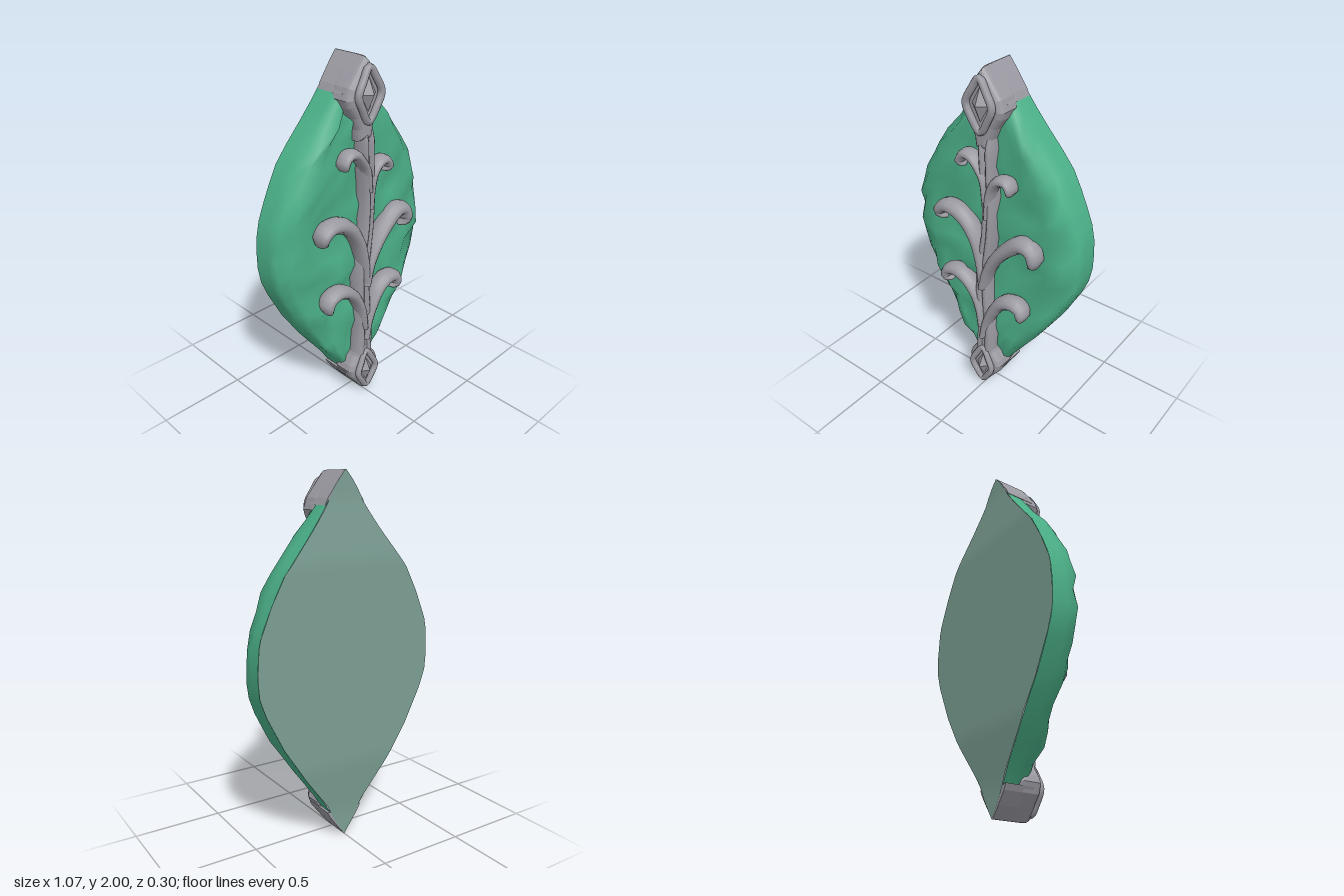
import * as THREE from 'three';

const mat = (name, color, side = THREE.FrontSide) => {
  const m = new THREE.MeshStandardMaterial({ color, side });
  m.name = name;
  return m;
};

// piecewise-linear lookup in [[key, value], ...]
function lerpTable(table, k) {
  for (let i = 1; i < table.length; i++) {
    const [a, va] = table[i - 1], [b, vb] = table[i];
    if (k <= b) return va + (vb - va) * Math.max(0, (k - a) / (b - a));
  }
  return table[table.length - 1][1];
}

// surface from rows and columns of points
function gridSurface(rows, cols, point) {
  const pos = [], idx = [];
  for (let i = 0; i <= rows; i++)
    for (let j = 0; j <= cols; j++) pos.push(...point(i, j));
  for (let i = 0; i < rows; i++)
    for (let j = 0; j < cols; j++) {
      const a = i * (cols + 1) + j, d = a + cols + 1;
      idx.push(a, a + 1, d + 1, a, d + 1, d);
    }
  const g = new THREE.BufferGeometry();
  g.setAttribute('position', new THREE.Float32BufferAttribute(pos, 3));
  g.setIndex(idx);
  g.computeVertexNormals();
  return g;
}

// tube in the xy plane with changing width and a separate depth
function vine(points, radii, z, depth, rows = 28, cols = 12) {
  const curve = new THREE.CatmullRomCurve3(points.map(([x, y]) => new THREE.Vector3(x, y, 0)));
  return gridSurface(rows, cols, (i, j) => {
    const t = i / rows, p = curve.getPointAt(t), d = curve.getTangentAt(t);
    const close = Math.sqrt(Math.min(1, (1 - t) / 0.1));
    const r = lerpTable(radii, t) * close, a = -Math.PI / 2 + (j / cols) * Math.PI * 2;
    const h = depth * close;
    return [p.x - d.y * r * Math.cos(a), p.y + d.x * r * Math.cos(a), z + h * Math.sin(a)];
  });
}

const hash = (i, j) => {
  const s = Math.sin(i * 127.1 + j * 311.7) * 43758.5453;
  return (s - Math.floor(s)) * 2 - 1;
};

// half width of the leaf by height, and depth of its back
const outline = [[0, 0], [0.09, 0.06], [0.2, 0.115], [0.4, 0.265], [0.6, 0.395], [0.8, 0.495], [0.9, 0.53],
  [1.0, 0.537], [1.18, 0.525], [1.36, 0.45], [1.5, 0.375], [1.7, 0.21], [1.83, 0.112], [1.93, 0.06], [2, 0]];
const backDepth = [[0, -0.12], [0.15, -0.122], [0.45, -0.152], [1.55, -0.152], [1.85, -0.122], [2, -0.12]];
// across the front: [fraction of half width, z]; null z is the back edge
const section = [[-1, null], [-1, -0.07], [-0.99, 0.0], [-0.88, 0.04], [-0.7, 0.055], [-0.5, 0.045], [-0.3, 0.05], [-0.12, 0.045],
  [0.12, 0.045], [0.3, 0.05], [0.5, 0.045], [0.7, 0.055], [0.88, 0.04], [0.99, 0.0], [1, -0.07], [1, null]];

// pointed end piece; dir is -1 for the top and +1 for the bottom
function endCap(name, tipY, dir, s, grey) {
  const group = new THREE.Group();
  group.name = name;
  const toShape = (half) => {
    const pts = [...half, ...half.slice().reverse().map(([x, t]) => [-x, t])]
      .map(([x, t]) => new THREE.Vector2(x * s, tipY + dir * t * s));
    return new THREE.Shape(pts);
  };
  const add = (part, geo) => {
    const m = new THREE.Mesh(geo, grey);
    m.name = part;
    group.add(m);
  };
  // full-depth wedge that caps the leaf
  const wedge = new THREE.ExtrudeGeometry(toShape([[0.002, 0.002], [0.055, 0.07], [0.105, 0.14], [0.122, 0.175]]),
    { depth: 0.17, bevelEnabled: false });
  wedge.translate(0, 0, -0.118);
  add('capWedge', wedge);
  // rounded hood that narrows into the stem
  const hood = new THREE.ExtrudeGeometry(
    toShape([[0.004, 0.004], [0.055, 0.07], [0.108, 0.14], [0.128, 0.2], [0.115, 0.24], [0.075, 0.3], [0.052, 0.36], [0.045, 0.42]]),
    { depth: 0.07, bevelThickness: 0.04, bevelSize: 0.035, bevelOffset: -0.035, bevelSegments: 4 });
  hood.translate(0, 0, 0.0);
  add('capHood', hood);
  // raised diamond rim
  const rimPts = [[0, 0.05], [0.045, 0.11], [0.078, 0.18], [0.05, 0.25], [0, 0.32], [-0.05, 0.25], [-0.078, 0.18], [-0.045, 0.11]]
    .map(([x, t]) => new THREE.Vector3(x * s, tipY + dir * t * s, 0.108 + 0.015 * Math.sin(t * 9)));
  add('capRim', new THREE.TubeGeometry(new THREE.CatmullRomCurve3(rimPts, true), 40, 0.02 * s, 8, true));
  // faceted gem inside the rim
  const gem = new THREE.OctahedronGeometry(1);
  gem.scale(0.055 * s, 0.1 * s, 0.045);
  gem.translate(0, tipY + dir * 0.18 * s, 0.105);
  add('capGem', gem);
  return group;
}

export function createModel() {
  const green = mat('leafGreen', 0x4bb088, THREE.DoubleSide);
  const grey = mat('vineGrey', 0x9b9aa2, THREE.DoubleSide);
  const backGrey = mat('backGreyGreen', 0x7c9f94);
  const model = new THREE.Group();
  const add = (name, geo, m) => {
    const mesh = new THREE.Mesh(geo, m);
    mesh.name = name;
    model.add(mesh);
  };

  // hammered leaf front and sides
  const rows = 19;
  add('leafBody', gridSurface(rows, section.length - 1, (i, j) => {
    const y = 0.15 + (i / rows) * 1.7, w = lerpTable(outline, y), [u, z] = section[j];
    const back = lerpTable(backDepth, y);
    if (z === null) return [u * w, y, back];
    const fade = Math.min(1, (Math.min(y, 2 - y) - 0.13) / 0.2);
    const onSide = Math.abs(u) > 0.95;
    const bump = onSide ? 0.02 * hash(i, j) : 0.022 * hash(i, j) + 0.008 * Math.sin(y * 17 + u * 4);
    const dy = onSide ? 0 : 0.018 * hash(j, i + 40) * fade;
    return [u * w, y + dy, z + bump * fade - 0.035 * (1 - fade)];
  }), green);

  // flat back
  add('backPlate', gridSurface(40, 4, (i, j) => {
    const y = i / 20;
    return [(1 - j / 2) * lerpTable(outline, y), y, lerpTable(backDepth, y) - 0.002];
  }), backGrey);

  // stem of two strands with a groove between them
  const stemPath = [[0.0, 0.28], [0.004, 0.42], [-0.008, 0.65], [-0.008, 0.85], [0.022, 1.08], [0.03, 1.25], [0.02, 1.45], [0.012, 1.72]];
  const stemRadii = [[0, 0.034], [0.15, 0.03], [0.4, 0.025], [0.75, 0.019], [1, 0.024]];
  for (const side of [-1, 1]) {
    const path = stemPath.map(([x, y]) => [x + side * (0.014 + 0.016 * Math.abs(y - 1.15)), y]);
    add('stemStrand', vine(path, stemRadii, 0.06, 0.06, 50), grey);
  }

  // curled branches: path and size
  const branches = [
    [[[0, 0.74], [0.03, 0.86], [0.09, 0.97], [0.17, 1.06], [0.25, 1.115], [0.31, 1.1], [0.325, 1.03], [0.28, 1.005]], 1],
    [[[0, 0.76], [-0.015, 0.9], [-0.05, 1.03], [-0.11, 1.12], [-0.18, 1.165], [-0.26, 1.17], [-0.31, 1.12], [-0.26, 1.085]], 0.95],
    [[[0, 0.38], [0.025, 0.5], [0.07, 0.6], [0.12, 0.67], [0.19, 0.705], [0.25, 0.69], [0.255, 0.635], [0.215, 0.625]], 0.9],
    [[[-0.01, 0.46], [-0.03, 0.59], [-0.07, 0.68], [-0.13, 0.74], [-0.2, 0.765], [-0.265, 0.74], [-0.275, 0.69], [-0.23, 0.675]], 0.85],
    [[[0.03, 1.2], [0.04, 1.32], [0.06, 1.39], [0.1, 1.435], [0.15, 1.44], [0.172, 1.395], [0.14, 1.375]], 0.62],
    [[[0.02, 1.3], [0.005, 1.42], [-0.03, 1.48], [-0.07, 1.52], [-0.12, 1.525], [-0.15, 1.475], [-0.12, 1.452]], 0.62],
  ];
  for (const [path, k] of branches) {
    const radii = [[0, 0.025 * k], [0.35, 0.036 * k], [0.65, 0.047 * k], [0.85, 0.04 * k], [1, 0.03 * k]];
    add('curledBranch', vine(path, radii, 0.082, 0.03 + 0.03 * k), grey);
  }

  model.add(endCap('topCap', 2, -1, 1, grey));
  model.add(endCap('bottomCap', 0, 1, 0.9, grey));
  return model;
}
